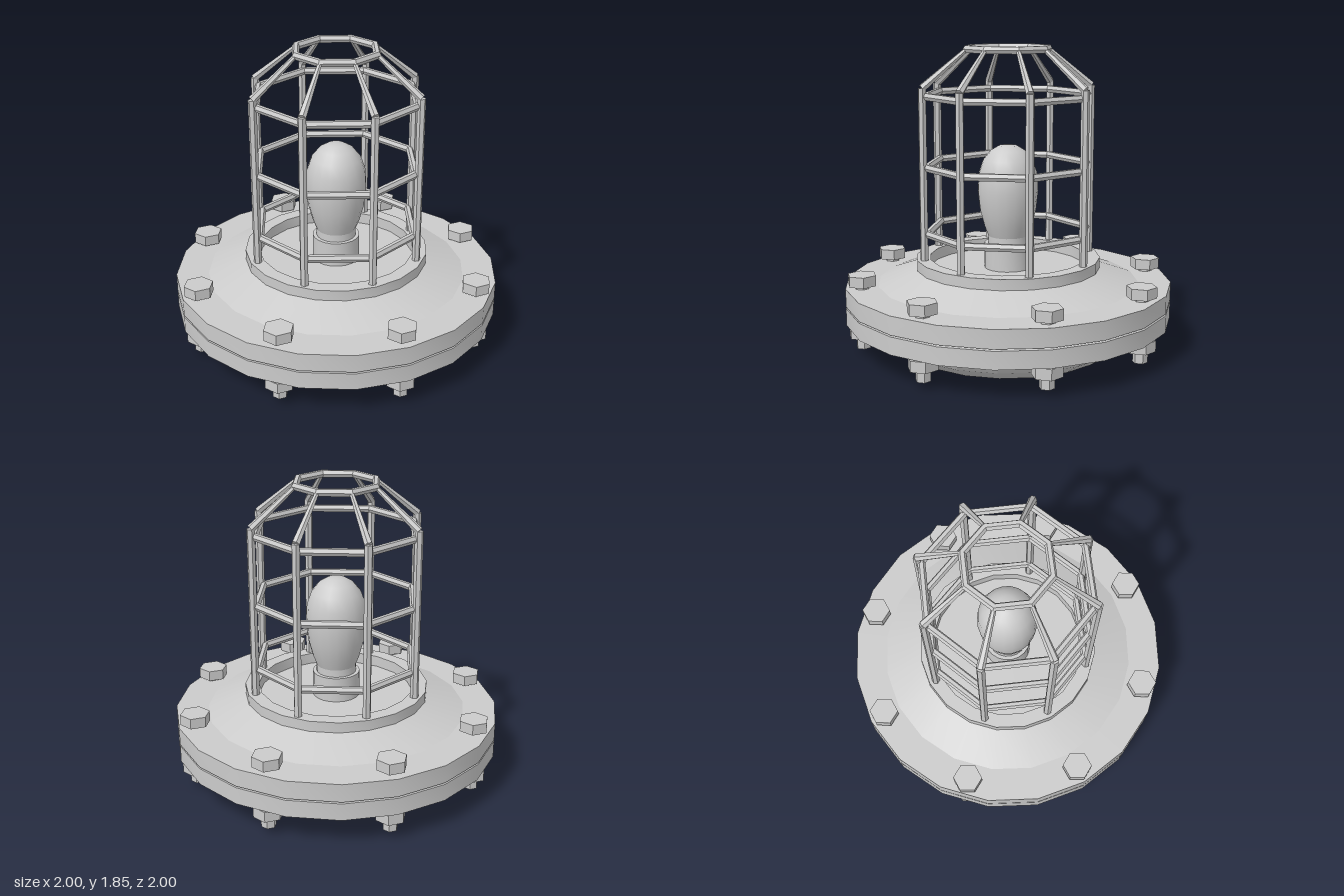
import * as THREE from 'three';
import { toCreasedNormals } from 'three/addons/utils/BufferGeometryUtils.js';

export function createModel() {
  const model = new THREE.Group();
  const smooth = new THREE.MeshStandardMaterial({ color: 0xcccccc });
  const flat = new THREE.MeshStandardMaterial({ color: 0xcccccc, flatShading: true });

  const add = (parent, name, geometry, material = flat) => {
    const mesh = new THREE.Mesh(geometry, material);
    mesh.name = name;
    parent.add(mesh);
    return mesh;
  };
  // Turned part from [radius, height] points, listed from bottom to top
  const turned = (name, points, crease = 0.55) => {
    const g = new THREE.LatheGeometry(points.map(([r, y]) => new THREE.Vector2(r, y)), 20);
    return add(model, name, toCreasedNormals(g, crease), smooth);
  };
  // Six-sided rod between two points
  const rod = (parent, name, a, b, ra, rb) => {
    const dir = b.clone().sub(a);
    const mesh = add(parent, name, new THREE.CylinderGeometry(rb, ra, dir.length(), 6));
    mesh.position.copy(a).add(b).multiplyScalar(0.5);
    mesh.quaternion.setFromUnitVectors(new THREE.Vector3(0, 1, 0), dir.normalize());
  };

  // Housing: two flanged halves with a thin gap
  turned('lowerHousing', [[0, 0], [0.64, 0], [0.745, 0.07], [0.8, 0.185], [1, 0.185], [1, 0.29], [0, 0.29]]);
  turned('upperHousing', [[0, 0.3], [1, 0.3], [1, 0.41], [0.8, 0.41], [0.565, 0.495],
    [0.565, 0.56], [0.48, 0.56], [0.48, 0.49], [0, 0.49]], 0.33);

  // Lamp socket and bulb
  turned('socket', [[0, 0.48], [0.145, 0.48], [0.145, 0.645], [0.122, 0.645], [0.122, 0.71], [0, 0.71]]);
  turned('bulb', [[0, 0.69], [0.122, 0.69], [0.145, 0.75], [0.172, 0.85], [0.185, 0.97], [0.178, 1.08],
    [0.15, 1.16], [0.105, 1.215], [0.055, 1.245], [0, 1.25]], 0.9);

  // Bolts around the flange, all hexes turned the same way
  const hex = (group, name, r, y0, y1) => {
    const g = new THREE.CylinderGeometry(r, r, y1 - y0, 6).rotateY(Math.PI / 6);
    add(group, name, g).position.y = (y0 + y1) / 2;
  };
  for (let i = 0; i < 8; i++) {
    const a = i * Math.PI / 4;
    const bolt = new THREE.Group();
    bolt.name = 'bolt';
    hex(bolt, 'boltHead', 0.09, 0.43, 0.495);
    hex(bolt, 'boltShank', 0.045, 0.04, 0.44);
    hex(bolt, 'boltNut', 0.09, 0.11, 0.175);
    bolt.position.set(0.9 * Math.cos(a), 0, 0.9 * Math.sin(a));
    model.add(bolt);
  }

  // Guard cage: uprights that bend inward to a small crown ring
  const cage = new THREE.Group();
  cage.name = 'cage';
  model.add(cage);
  for (let i = 0; i < 8; i++) {
    const bar = new THREE.Group();
    bar.name = 'cageBar';
    bar.rotation.y = i * Math.PI / 4;
    const foot = new THREE.Vector3(0.52, 0.5, 0);
    const bend = new THREE.Vector3(0.52, 1.6, 0);
    const top = new THREE.Vector3(0.25, 1.825, 0);
    rod(bar, 'upright', foot, bend, 0.025, 0.025);
    rod(bar, 'slopingBar', bend, top, 0.025, 0.014);
    cage.add(bar);
  }

  // Octagonal hoops
  for (const [r, y] of [[0.5, 0.72], [0.5, 1.125], [0.5, 1.55], [0.25, 1.825]]) {
    const g = new THREE.TorusGeometry(r, 0.024, 6, 8).rotateX(Math.PI / 2);
    add(cage, r < 0.3 ? 'crownRing' : 'cageHoop', g).position.y = y;
  }
  return model;
}
